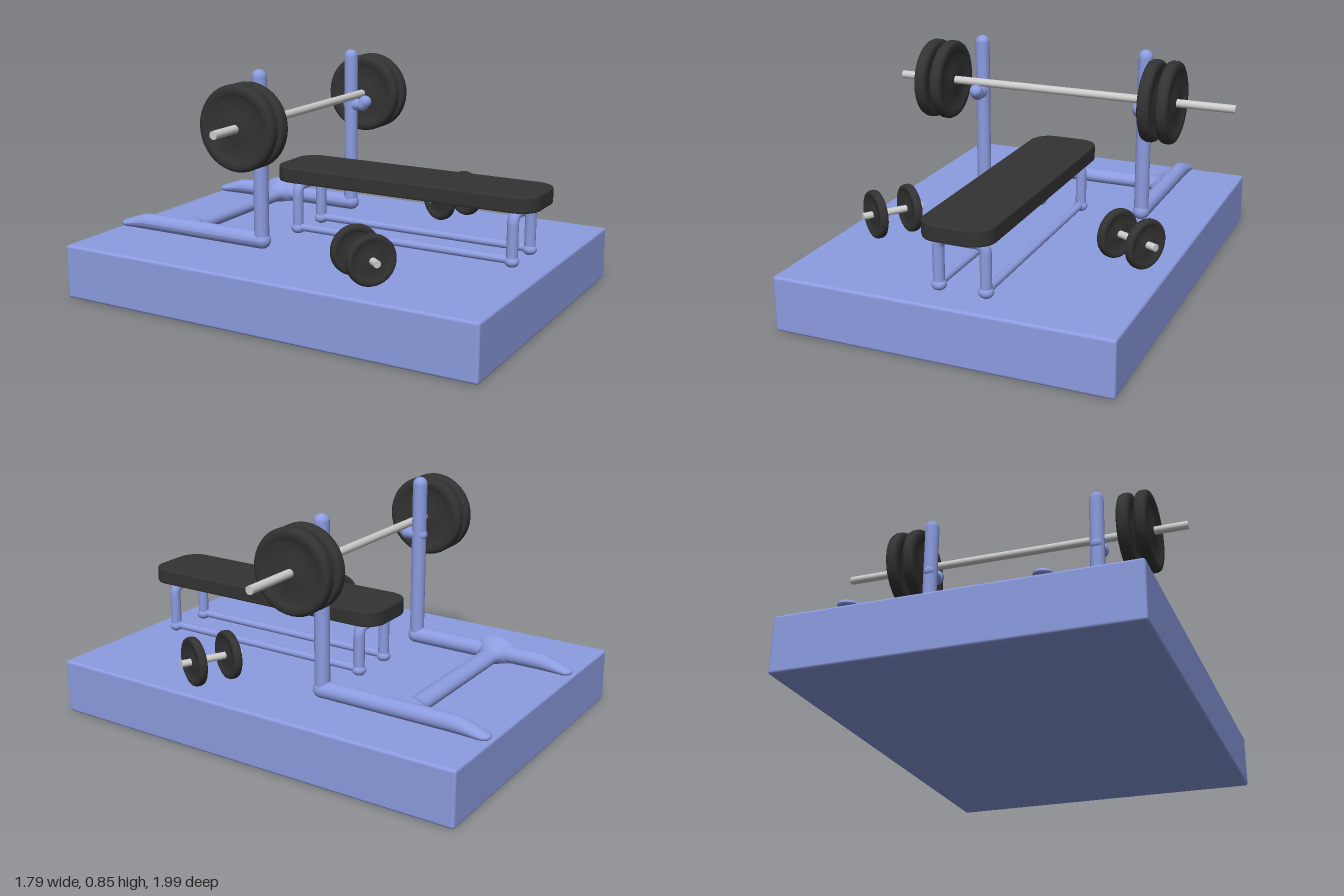
import * as THREE from 'three';
import { RoundedBoxGeometry } from 'three/addons/geometries/RoundedBoxGeometry.js';

const V = (x, y, z) => new THREE.Vector3(x, y, z);
const blue = new THREE.MeshStandardMaterial({ color: 0x8c9ce0 });
const black = new THREE.MeshStandardMaterial({ color: 0x333333 });
const grey = new THREE.MeshStandardMaterial({ color: 0xcccccc });

function add(parent, name, geometry, material, x = 0, y = 0, z = 0) {
  const mesh = new THREE.Mesh(geometry, material);
  mesh.name = name;
  mesh.position.set(x, y, z);
  parent.add(mesh);
  return mesh;
}

// Round-ended rod between two points
function rod(parent, name, a, b, r, material) {
  const mesh = add(parent, name, new THREE.CapsuleGeometry(r, a.distanceTo(b), 8, 20), material);
  mesh.position.copy(a).lerp(b, 0.5);
  mesh.quaternion.setFromUnitVectors(V(0, 1, 0), b.clone().sub(a).normalize());
  return mesh;
}

// Flat-ended bar along x
function bar(parent, name, length, r, x, y, z) {
  const g = new THREE.CylinderGeometry(r, r, length, 20).rotateZ(Math.PI / 2);
  return add(parent, name, g, grey, x, y, z);
}

// Weight disc along x: raised rim, dished face and hub on both sides
function plate(parent, r, t, x, y, z) {
  const h = t / 2;
  const half = [[0, 0.85], [0.3, 0.85], [0.34, 0.5], [0.7, 0.5], [0.76, 0.95], [0.9, 1], [0.97, 0.8], [1, 0.4]];
  const pts = half.map(([a, b]) => new THREE.Vector2(a * r, -b * h));
  pts.push(...half.slice().reverse().map(([a, b]) => new THREE.Vector2(a * r, b * h)));
  const g = new THREE.LatheGeometry(pts, 40).rotateZ(Math.PI / 2);
  return add(parent, 'weightPlate', g, black, x, y, z);
}

// Tube along x flaring out at both ends like a welded joint
function flaredBar(parent, name, length, r, flare, x, y, z) {
  const h = length / 2, n = 6, pts = [];
  for (let i = 0; i <= n; i++) {
    const k = 1 - i / n;
    pts.push(new THREE.Vector2(r + (flare - r) * k * k, -h + (1 - k) * 0.07));
  }
  pts.push(...pts.slice().reverse().map(p => new THREE.Vector2(p.x, -p.y)));
  const mesh = add(parent, name, new THREE.LatheGeometry(pts, 20).rotateZ(Math.PI / 2), blue, x, y, z);
  mesh.scale.y = 0.75;
  return mesh;
}

// Floor rail whose rear tip slopes down to the platform
function footRail(parent, x) {
  const g = new THREE.CapsuleGeometry(0.031, 0.61, 8, 20, 16).rotateX(Math.PI / 2);
  g.translate(0, 0, -0.475);
  const p = g.attributes.position;
  for (let i = 0; i < p.count; i++) {
    const k = THREE.MathUtils.smoothstep(-p.getZ(i), 0.68, 0.81);
    p.setY(i, (p.getY(i) + 0.031) * (1 - 0.55 * k));
  }
  g.computeVertexNormals();
  add(parent, 'footRail', g, blue, x, 0.2, 0);
}

function makeRack(parent) {
  const rack = new THREE.Group();
  rack.name = 'rack';
  for (const x of [-0.284, 0.364]) {
    rod(rack, 'upright', V(x, 0.23, -0.172), V(x, 0.822, -0.172), 0.027, blue);
    const hook = [V(x, 0.63, -0.18), V(x, 0.632, -0.12), V(x, 0.645, -0.108)];
    rod(rack, 'barHook', hook[0], hook[1], 0.024, blue);
    rod(rack, 'barHookTip', hook[1], hook[2], 0.025, blue);
    footRail(rack, x);
  }
  flaredBar(rack, 'crossBar', 0.648, 0.037, 0.085, 0.04, 0.228, -0.507);
  parent.add(rack);
}

function makeBench(parent) {
  const bench = new THREE.Group();
  bench.name = 'bench';
  bench.position.set(0.04, 0, 0.26);

  // Padded seat with rounded corners
  const w = 0.128, l = 0.515, r = 0.075, s = new THREE.Shape();
  s.absarc(w - r, l - r, r, 0, Math.PI / 2);
  s.absarc(-w + r, l - r, r, Math.PI / 2, Math.PI);
  s.absarc(-w + r, -l + r, r, Math.PI, Math.PI * 1.5);
  s.absarc(w - r, -l + r, r, Math.PI * 1.5, Math.PI * 2);
  const pad = new THREE.ExtrudeGeometry(s, {
    depth: 0.046, bevelThickness: 0.006, bevelSize: 0.006, bevelOffset: -0.006, bevelSegments: 2, curveSegments: 10,
  }).rotateX(-Math.PI / 2);
  add(bench, 'pad', pad, black, 0, 0.406, 0);

  // Hoop legs, front and rear
  for (const z of [-0.428, 0.43]) {
    const path = new THREE.CurvePath();
    const a = 0.084, top = 0.383, c = 0.035;
    path.add(new THREE.LineCurve3(V(-a, 0.215, z), V(-a, top - c, z)));
    path.add(new THREE.QuadraticBezierCurve3(V(-a, top - c, z), V(-a, top, z), V(-a + c, top, z)));
    path.add(new THREE.LineCurve3(V(-a + c, top, z), V(a - c, top, z)));
    path.add(new THREE.QuadraticBezierCurve3(V(a - c, top, z), V(a, top, z), V(a, top - c, z)));
    path.add(new THREE.LineCurve3(V(a, top - c, z), V(a, 0.215, z)));
    add(bench, 'legHoop', new THREE.TubeGeometry(path, 60, 0.02, 14), blue);
    for (const x of [-a, a]) {
      const foot = add(bench, 'foot', new THREE.SphereGeometry(0.026, 18, 12), blue, x, 0.22, z);
      foot.scale.y = 0.8;
    }
  }
  // Low rails joining the legs
  for (const x of [-0.084, 0.084]) {
    rod(bench, 'lowRail', V(x, 0.224, -0.428), V(x, 0.224, 0.43), 0.014, blue);
  }
  parent.add(bench);
}

function makeDumbbell(parent, x, z, turn) {
  const d = new THREE.Group();
  d.name = 'dumbbell';
  d.position.set(x, 0.287, z);
  d.rotation.y = turn;
  bar(d, 'handle', 0.23, 0.013, 0, 0, 0);
  for (const side of [-1, 1]) plate(d, 0.088, 0.032, side * 0.066, 0, 0);
  parent.add(d);
}

export function createModel() {
  const model = new THREE.Group();
  model.name = 'weightBench';

  // Platform, rack, bench and barbell share one turned frame
  const station = new THREE.Group();
  station.name = 'station';
  station.rotation.y = 0.453;
  model.add(station);

  add(station, 'platform', new RoundedBoxGeometry(1.21, 0.2, 1.63, 3, 0.01), blue, 0, 0.1, 0);
  makeRack(station);
  makeBench(station);

  const barbell = new THREE.Group();
  barbell.name = 'barbell';
  barbell.position.set(0, 0.673, -0.137);
  bar(barbell, 'barbellBar', 1.32, 0.015, 0.05, 0, 0);
  for (const x of [-0.467, -0.403, 0.41, 0.477]) plate(barbell, 0.15, 0.046, x, 0, 0);
  station.add(barbell);

  makeDumbbell(model, 0.515, 0.012, 0);
  makeDumbbell(model, -0.239, 0.47, 1.37);
  return model;
}
